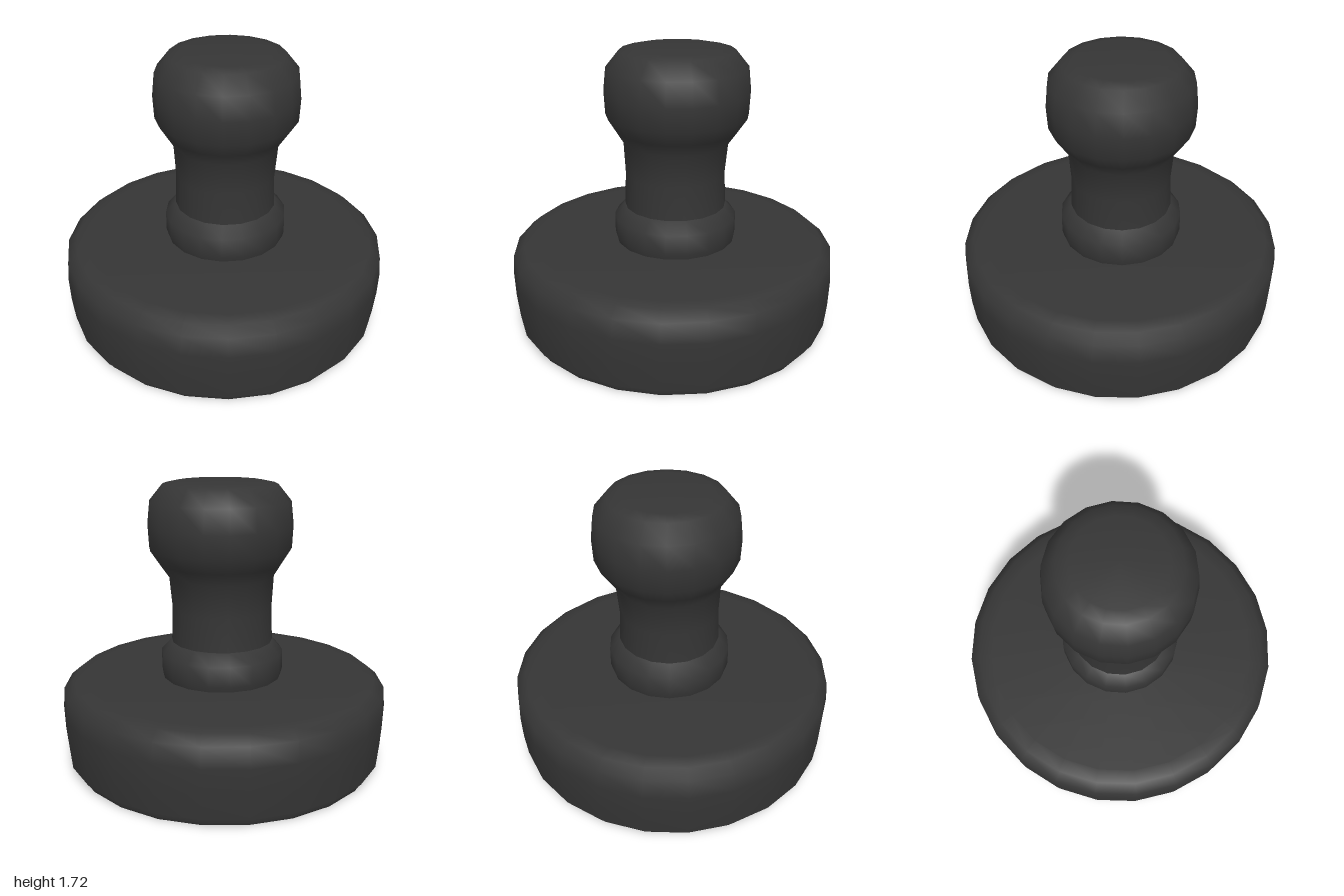
import * as THREE from 'three';
import { toCreasedNormals } from 'three/addons/utils/BufferGeometryUtils.js';

export function createModel() {
  const group = new THREE.Group();
  const charcoal = new THREE.MeshStandardMaterial({ color: 0x353535 });
  charcoal.name = 'charcoal';

  // Turned part from [radius, height] pairs, bottom to top; lean(y) shifts it in z
  function turned(name, profile, sides, lean = () => 0) {
    const points = profile.map(([r, y]) => new THREE.Vector2(r, y));
    const lathe = new THREE.LatheGeometry(points, sides);
    const pos = lathe.attributes.position;
    for (let i = 0; i < pos.count; i++) pos.setZ(i, pos.getZ(i) + lean(pos.getY(i)));
    const mesh = new THREE.Mesh(toCreasedNormals(lathe, 0.95), charcoal);
    mesh.name = name;
    group.add(mesh);
  }

  // Recessed foot under the disc
  turned('foot', [[0, 0], [0.945, 0], [0.955, 0.02], [0.955, 0.06]], 24);

  // Heavy disc with a slight belly and a bevelled rim
  turned('disc', [
    [0.9, 0.05], [0.98, 0.05], [0.995, 0.2], [1, 0.35], [0.99, 0.47], [0.93, 0.52], [0.85, 0.528], [0, 0.528],
  ], 24);

  // Collar where the handle meets the disc
  turned('collar', [[0.365, 0.52], [0.375, 0.56], [0.375, 0.68], [0.31, 0.75], [0.28, 0.755]], 18, () => -0.017);

  // Stem flaring into the grip, leaning slightly back
  turned('handle', [
    [0.31, 0.74], [0.303, 0.95], [0.318, 1.15], [0.37, 1.23], [0.428, 1.32],
    [0.435, 1.46], [0.42, 1.6], [0.34, 1.698], [0.27, 1.713], [0, 1.718],
  ], 18, (y) => -0.017 - 0.012 * THREE.MathUtils.smoothstep(y, 1, 1.35));

  return group;
}
